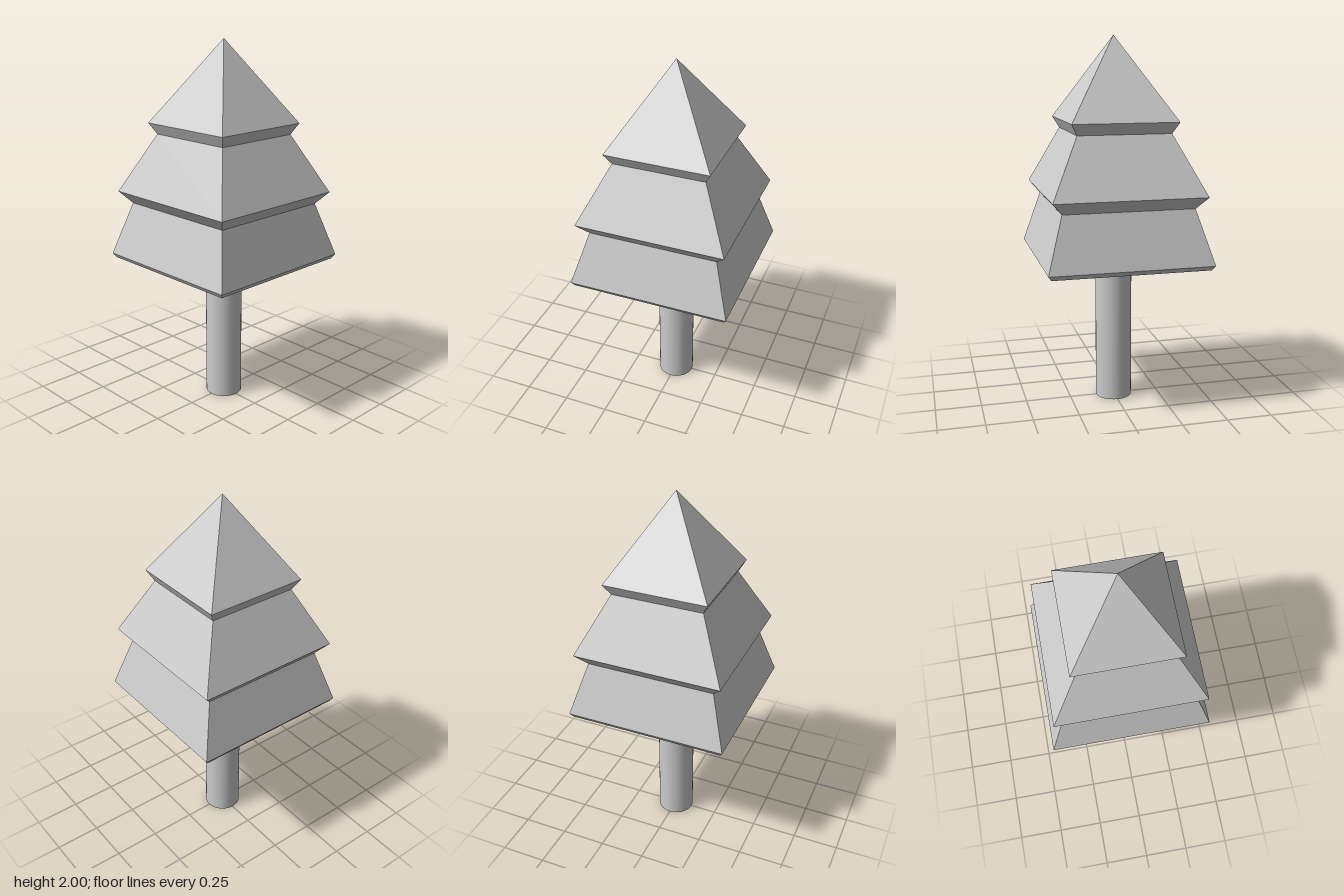
import * as THREE from 'three';

export function createModel() {
  const group = new THREE.Group();
  group.name = 'tree';

  // Round trunk
  const trunkHeight = 0.805, trunkRadius = 0.1;
  const trunk = new THREE.Mesh(
    new THREE.CylinderGeometry(trunkRadius, trunkRadius, trunkHeight, 32),
    new THREE.MeshStandardMaterial({ color: 0xcccccc })
  );
  trunk.name = 'trunk';
  trunk.position.y = trunkHeight / 2;
  group.add(trunk);

  // Square three-tiered foliage: [half width, height] from the underside to the tip
  const profile = [
    [0, 0.805], [0.42, 0.805], [0.437, 0.83],
    [0.35, 1.12], [0.405, 1.185],
    [0.25, 1.5], [0.283, 1.56],
    [0, 2],
  ].map(([half, y]) => new THREE.Vector2(half * Math.SQRT2, y));
  const foliage = new THREE.Mesh(
    new THREE.LatheGeometry(profile, 4, Math.PI / 4),
    new THREE.MeshStandardMaterial({ color: 0xcccccc, flatShading: true })
  );
  foliage.name = 'foliage';
  group.add(foliage);

  return group;
}
